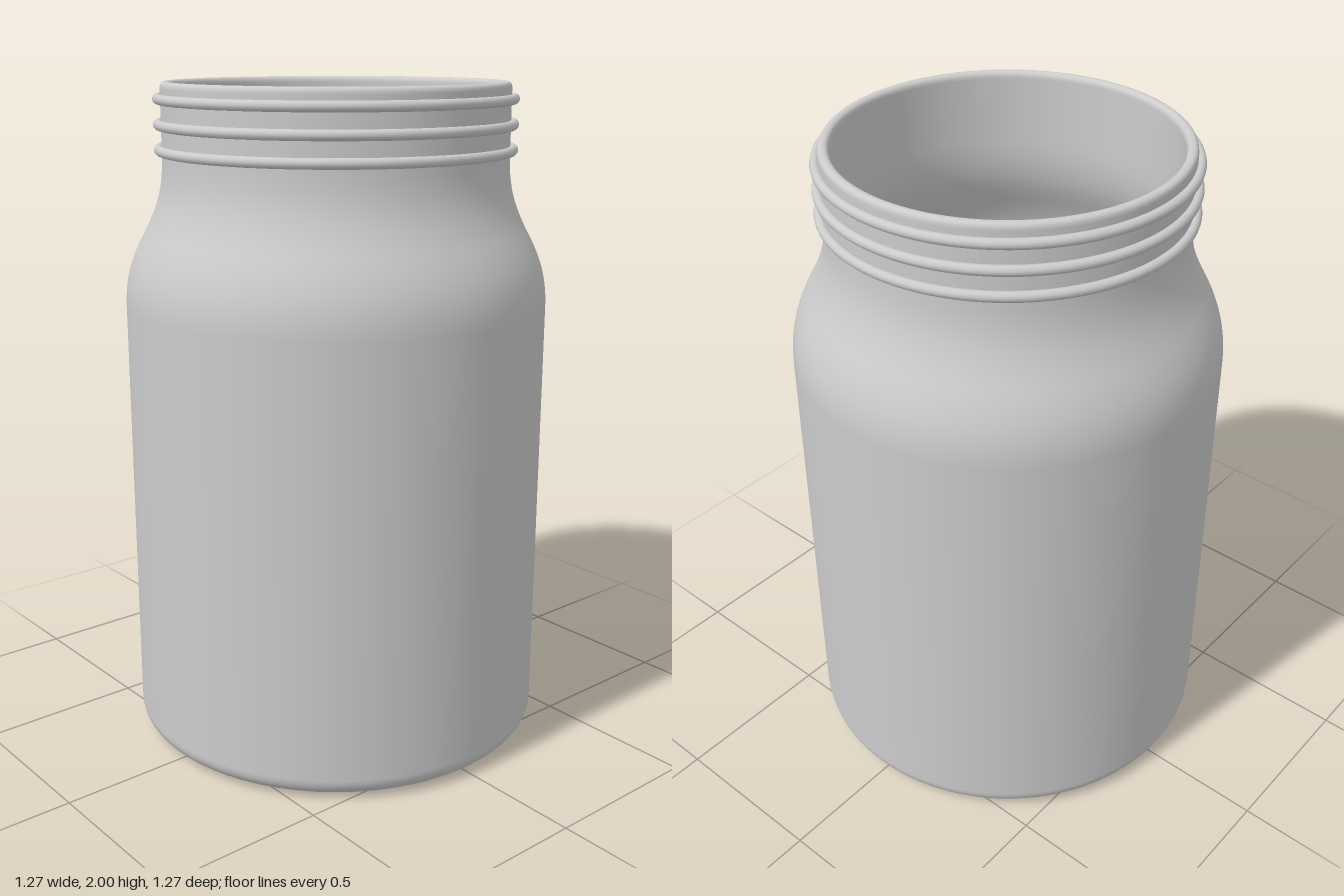
import * as THREE from 'three';

const SEGMENTS = 96;

export function createModel() {
  const group = new THREE.Group();
  group.name = 'jar';
  const glass = new THREE.MeshStandardMaterial({ color: 0xcccccc });

  function add(name, geometry, y = 0) {
    const mesh = new THREE.Mesh(geometry, glass);
    mesh.name = name;
    mesh.position.y = y;
    group.add(mesh);
    return mesh;
  }

  // Wall section: outside from base to rim, then back down the inside
  const section = new THREE.Path();
  section.moveTo(0, 0);
  section.lineTo(0.555, 0);
  section.bezierCurveTo(0.6, 0, 0.635, 0.025, 0.635, 0.065); // heel
  section.lineTo(0.635, 1.35);
  section.bezierCurveTo(0.635, 1.45, 0.603, 1.51, 0.565, 1.58); // shoulder
  section.bezierCurveTo(0.53, 1.65, 0.515, 1.7, 0.515, 1.79);
  section.lineTo(0.515, 1.98);
  section.bezierCurveTo(0.515, 1.993, 0.51, 2, 0.4985, 2); // rounded rim
  section.bezierCurveTo(0.488, 2, 0.482, 1.993, 0.482, 1.98);
  section.lineTo(0.482, 1.79);
  section.bezierCurveTo(0.482, 1.69, 0.5, 1.635, 0.534, 1.57); // inner shoulder
  section.bezierCurveTo(0.572, 1.5, 0.602, 1.44, 0.602, 1.35);
  section.lineTo(0.602, 0.085);
  section.bezierCurveTo(0.602, 0.055, 0.58, 0.035, 0.545, 0.035); // inner heel
  section.lineTo(0, 0.035);
  add('jarBody', new THREE.LatheGeometry(section.getPoints(12), SEGMENTS));

  // Three raised rings around the neck
  [1.805, 1.878, 1.951].forEach((y, i) => {
    const ring = new THREE.TorusGeometry(0.523, 0.015, 12, SEGMENTS);
    ring.rotateX(Math.PI / 2);
    add('neckRing' + (i + 1), ring, y);
  });

  return group;
}
